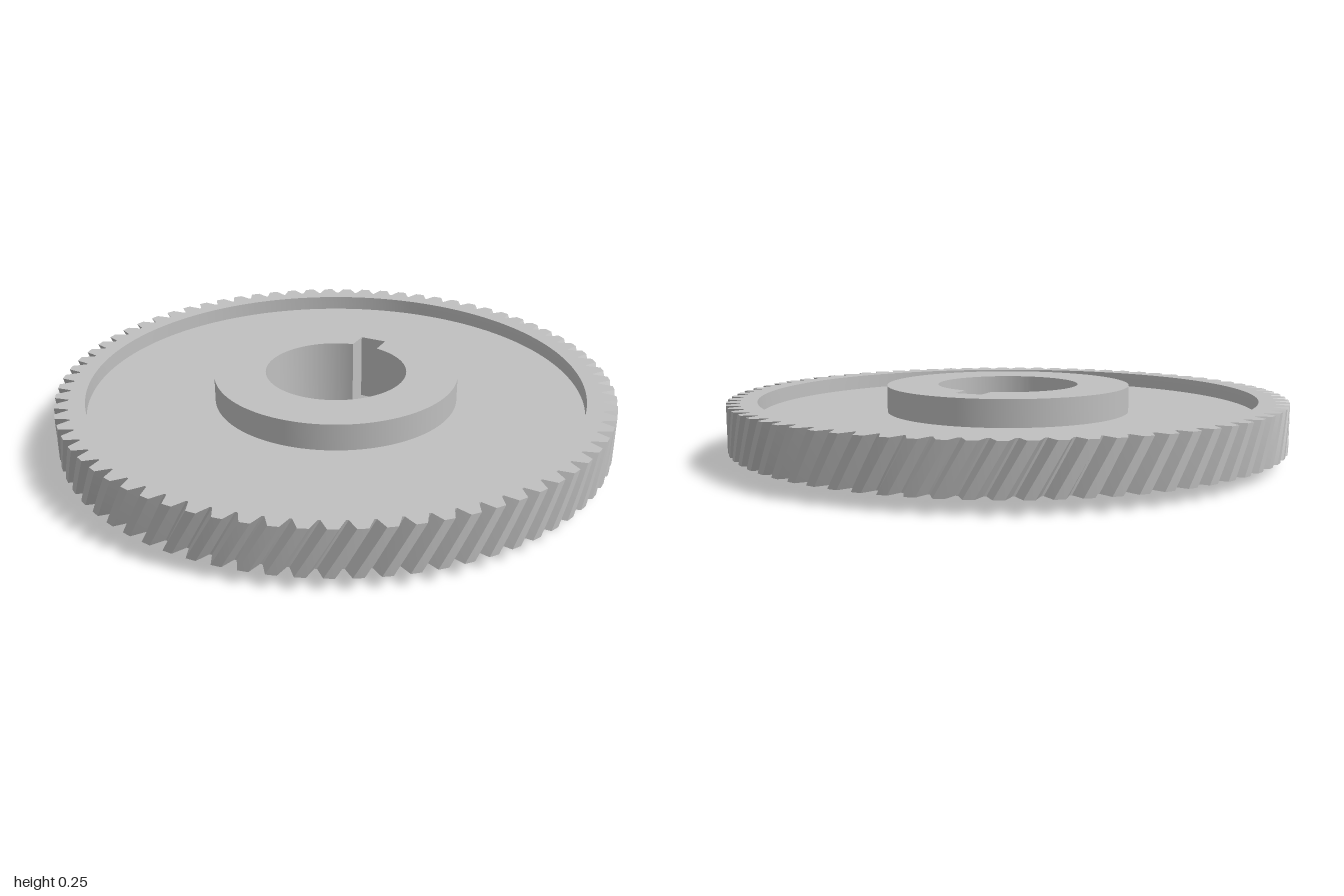
import * as THREE from 'three';
import { toCreasedNormals } from 'three/addons/utils/BufferGeometryUtils.js';

const TEETH = 75, TWIST = 0.095;
const R_TIP = 1, R_ROOT = 0.953, R_RECESS = 0.895, R_HUB = 0.44, R_BORE = 0.255;
const Y_BOTTOM = 0.045, Y_WEB = 0.155, Y_RIM = 0.21, Y_HUB = 0.25;

// Extrude a plan outline upwards from y0 to y1
function extrudeUp(shape, y0, y1, steps = 1) {
  const g = new THREE.ExtrudeGeometry(shape, { depth: y1 - y0, steps, bevelEnabled: false, curveSegments: 96 });
  return g.rotateX(-Math.PI / 2).translate(0, y0, 0);
}

// Helical toothed ring: V-notched outline, rotated progressively with height
function rimGeometry() {
  const pitch = (2 * Math.PI) / TEETH, points = [];
  const add = (r, a) => points.push(new THREE.Vector2(r * Math.cos(a), r * Math.sin(a)));
  for (let i = 0; i < TEETH; i++) {
    const a = -Math.PI / 2 - 0.011 + i * pitch;
    add(R_TIP, a - 0.025);
    add(R_ROOT, a - 0.004);
    add(R_ROOT, a + 0.004);
    add(R_TIP, a + 0.025);
    add(R_TIP, a + pitch / 2);
  }
  const shape = new THREE.Shape(points);
  shape.holes.push(new THREE.Path().absarc(0, 0, R_RECESS, 0, 2 * Math.PI, true));
  const g = extrudeUp(shape, Y_BOTTOM, Y_RIM, 6);
  const p = g.attributes.position;
  const v = new THREE.Vector3(), up = new THREE.Vector3(0, 1, 0);
  for (let i = 0; i < p.count; i++) {
    v.fromBufferAttribute(p, i);
    v.applyAxisAngle(up, TWIST * (v.y - Y_RIM) / (Y_RIM - Y_BOTTOM));
    p.setXYZ(i, v.x, v.y, v.z);
  }
  return toCreasedNormals(g, 0.3);
}

// Hub with a bore and a keyway towards the back
function hubGeometry() {
  const half = 0.05, a = Math.asin(half / R_BORE);
  const shape = new THREE.Shape().absarc(0, 0, R_HUB, 0, 2 * Math.PI, false);
  const bore = new THREE.Path().absarc(0, 0, R_BORE, Math.PI / 2 + a, 2.5 * Math.PI - a, false);
  bore.lineTo(half, 0.33);
  bore.lineTo(-half, 0.33);
  bore.closePath();
  shape.holes.push(bore);
  return toCreasedNormals(extrudeUp(shape, 0, Y_HUB), 0.3);
}

export function createModel() {
  const steel = new THREE.MeshStandardMaterial({ color: 0xc0c0c0 });
  steel.name = 'steel grey';
  const gear = new THREE.Group();
  gear.name = 'helicalGear';
  const add = (name, geometry) => {
    const mesh = new THREE.Mesh(geometry, steel);
    mesh.name = name;
    gear.add(mesh);
  };

  add('toothedRim', rimGeometry());
  add('hub', hubGeometry());

  // Web faces between hub and rim
  const ring = () => new THREE.RingGeometry(R_HUB, R_RECESS, 192);
  add('webTop', ring().rotateX(-Math.PI / 2).translate(0, Y_WEB, 0));
  add('webBottom', ring().rotateX(Math.PI / 2).translate(0, Y_BOTTOM, 0));
  return gear;
}
